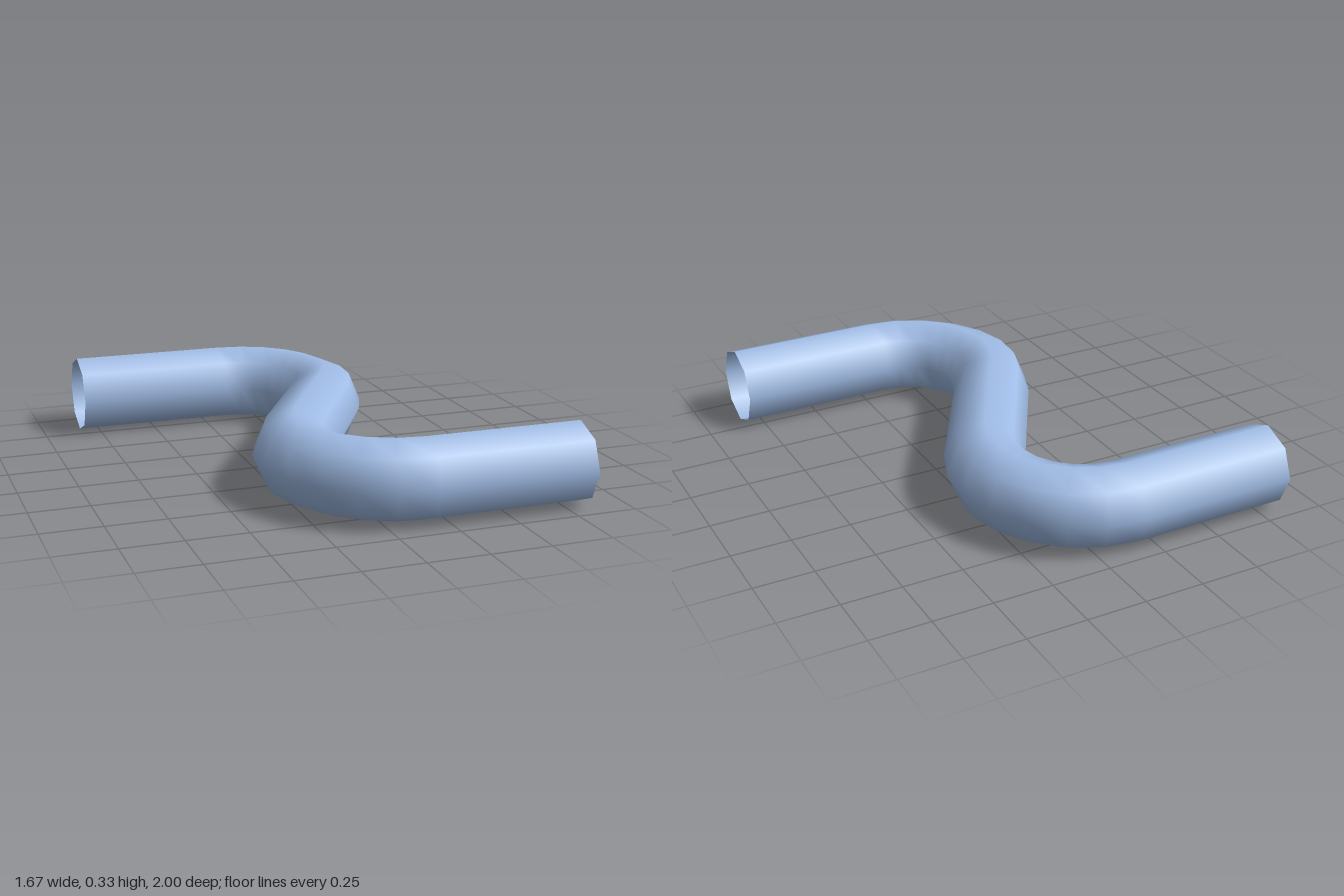
import * as THREE from 'three';

const TUBE = 1 / 6;      // pipe radius
const SIDES = 8;         // octagonal section
const BEND = 0.375;      // bend radius along the centre line
const STEPS = 7;         // segments per bend
const TURN = THREE.MathUtils.degToRad(120);
const END = 0.833;       // x of the open ends, z of the straight legs
const BEND_X = -0.167;   // x of the back bend's centre

// Stations along the centre line: position plus heading in the ground plane
function pipeStations() {
  const half = [{ x: -END, z: -END, heading: 0 }];
  for (let k = 0; k <= STEPS; k++) {
    const heading = (TURN * k) / STEPS;
    half.push({
      x: BEND_X + BEND * Math.sin(heading),
      z: -END + BEND - BEND * Math.cos(heading),
      heading,
    });
  }
  // The front half is the back half turned by 180 degrees
  const rest = half.map((s) => ({ x: -s.x, z: -s.z, heading: s.heading })).reverse();
  return [...half, ...rest];
}

// Sweep an open octagonal ring through the stations, with smooth normals
function sweepPipe(stations) {
  const positions = [], normals = [], index = [];
  stations.forEach(({ x, z, heading }, i) => {
    for (let j = 0; j < SIDES; j++) {
      const phi = (j / SIDES) * Math.PI * 2;
      const nx = -Math.sin(heading) * Math.cos(phi);
      const ny = Math.sin(phi);
      const nz = Math.cos(heading) * Math.cos(phi);
      positions.push(x + TUBE * nx, TUBE + TUBE * ny, z + TUBE * nz);
      normals.push(nx, ny, nz);
      if (i === stations.length - 1) continue;
      const a = i * SIDES + j;
      const b = i * SIDES + ((j + 1) % SIDES);
      index.push(a, a + SIDES, b, b, a + SIDES, b + SIDES);
    }
  });
  const geometry = new THREE.BufferGeometry();
  geometry.setAttribute('position', new THREE.Float32BufferAttribute(positions, 3));
  geometry.setAttribute('normal', new THREE.Float32BufferAttribute(normals, 3));
  geometry.setIndex(index);
  return geometry;
}

export function createModel() {
  const group = new THREE.Group();
  group.name = 'bentPipe';

  // Open-ended pipe, visible inside and out
  const material = new THREE.MeshStandardMaterial({ color: 0xa0bce6, side: THREE.DoubleSide });
  const pipe = new THREE.Mesh(sweepPipe(pipeStations()), material);
  pipe.name = 'pipe';
  group.add(pipe);

  return group;
}
